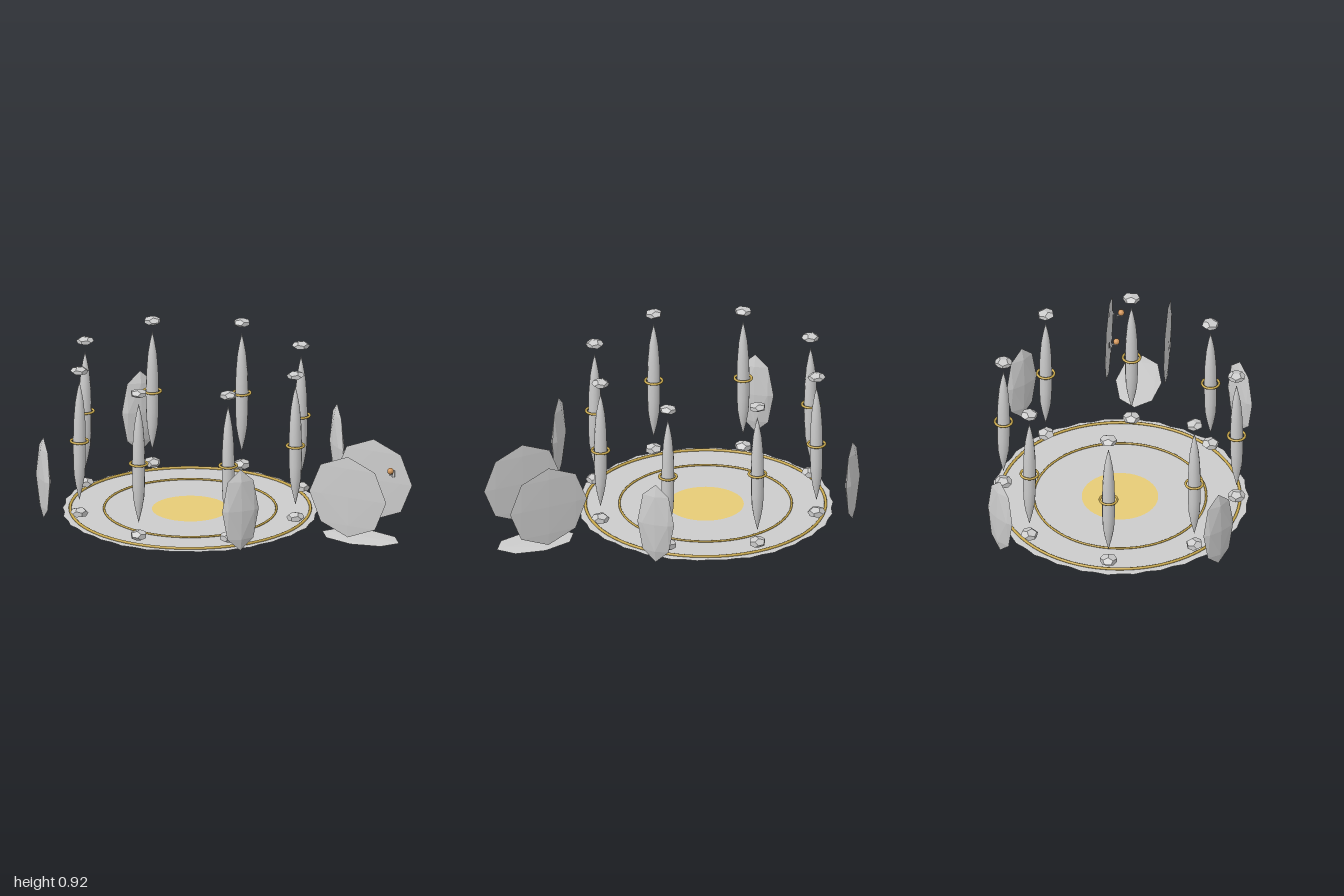
import * as THREE from 'three';

const mat = (color, flatShading = false) =>
  new THREE.MeshStandardMaterial({ color, flatShading, side: THREE.DoubleSide });
const grey = mat(0xcccccc);
const facetGrey = mat(0xcccccc, true);
const gold = mat(0xc9a94e);
const paleGold = mat(0xe6cb76);
const copper = mat(0xd2965a);

function add(parent, name, geometry, material, x = 0, y = 0, z = 0) {
  const mesh = new THREE.Mesh(geometry, material);
  mesh.name = name;
  mesh.position.set(x, y, z);
  parent.add(mesh);
  return mesh;
}

// Shallow dished floor whose rim is gently ragged
function floorGeometry() {
  const profile = [[0, 0], [0.21, 0.002], [0.69, 0.011], [0.705, 0.013], [0.69, 0.014], [0, 0.013]]
    .map(([r, y]) => new THREE.Vector2(r, y));
  const geo = new THREE.LatheGeometry(profile, 60);
  const p = geo.attributes.position;
  for (let i = 0; i < p.count; i++) {
    const x = p.getX(i), z = p.getZ(i);
    if (Math.hypot(x, z) < 0.6) continue;
    const a = Math.atan2(z, x);
    const s = 1 + 0.008 * Math.cos(30 * a) + 0.006 * Math.cos(8 * a);
    p.setX(i, x * s);
    p.setZ(i, z * s);
  }
  geo.computeVertexNormals();
  return geo;
}

// Octagonal faceted lens, sized by its half extents
const facetLens = (sx, sy, sz) => new THREE.OctahedronGeometry(1, 1).scale(sx, sy, sz);

function createPillar() {
  const pillar = new THREE.Group();
  pillar.name = 'pillar';
  const profile = [[0, 0.14], [0.02, 0.225], [0.031, 0.29], [0.035, 0.37], [0.036, 0.49],
    [0.033, 0.61], [0.025, 0.71], [0.013, 0.78], [0, 0.84]].map(([r, y]) => new THREE.Vector2(r, y));
  add(pillar, 'spindle', new THREE.LatheGeometry(profile, 12), grey);
  const stone = (h) => new THREE.DodecahedronGeometry(0.05).scale(1, h, 1);
  add(pillar, 'topStone', stone(0.46), facetGrey, 0, 0.9, 0);
  add(pillar, 'bottomStone', stone(0.58), facetGrey, 0, 0.068, 0);
  const band = new THREE.TorusGeometry(0.048, 0.007, 8, 24).rotateX(Math.PI / 2);
  add(pillar, 'band', band, gold, 0, 0.488, 0);
  return pillar;
}

export function createModel() {
  const model = new THREE.Group();
  model.name = 'ritualCircle';

  // Round platform
  const circle = new THREE.Group();
  circle.name = 'circle';
  circle.position.x = -0.287;
  model.add(circle);
  add(circle, 'floor', floorGeometry(), facetGrey);
  add(circle, 'centreDisc', new THREE.CircleGeometry(0.212, 40).rotateX(-Math.PI / 2), paleGold, 0, 0.0155, 0);
  for (const [name, r, tube] of [['outerRing', 0.665, 0.008], ['innerRing', 0.477, 0.006]]) {
    add(circle, name, new THREE.TorusGeometry(r, tube, 8, 72).rotateX(Math.PI / 2), gold, 0, 0.019, 0);
  }

  // Eight floating pillars
  for (let i = 0; i < 8; i++) {
    const a = (i * Math.PI) / 4;
    const pillar = createPillar();
    pillar.position.set(Math.cos(a) * 0.648, 0, Math.sin(a) * 0.648);
    pillar.rotation.y = -a;
    circle.add(pillar);
  }

  // Four upright shards outside the circle, facing its centre
  for (const sx of [-1, 1]) {
    for (const sz of [-1, 1]) {
      const shard = add(circle, 'shard', facetLens(0.107, 0.238, 0.026), facetGrey, sx * 0.607, 0.297, sz * 0.607);
      shard.rotation.y = (sx * sz * Math.PI) / 4;
    }
  }

  // Side shrine: two upright panels and a base slab
  const shrine = new THREE.Group();
  shrine.name = 'shrine';
  shrine.position.x = 0.763;
  model.add(shrine);
  add(shrine, 'frontPanel', facetLens(0.237, 0.236, 0.006), facetGrey, 0, 0.3, 0.162);
  add(shrine, 'backPanel', facetLens(0.237, 0.236, 0.006), facetGrey, 0, 0.3, -0.164);
  add(shrine, 'baseSlab', facetLens(0.237, 0.006, 0.128), facetGrey, 0, 0.013, 0);

  // Knobs with small fittings
  for (const x of [-0.135, 0.13]) {
    add(shrine, 'knob', new THREE.SphereGeometry(0.018, 16, 12), copper, x, 0.386, -0.11);
    add(shrine, 'fittingBar', new THREE.BoxGeometry(0.008, 0.006, 0.036), grey, x, 0.366, -0.118);
    add(shrine, 'fittingDrop', new THREE.BoxGeometry(0.008, 0.024, 0.005), grey, x, 0.355, -0.133);
    add(shrine, 'fittingPlate', new THREE.BoxGeometry(0.012, 0.038, 0.005), grey, x, 0.357, -0.15);
  }
  return model;
}
